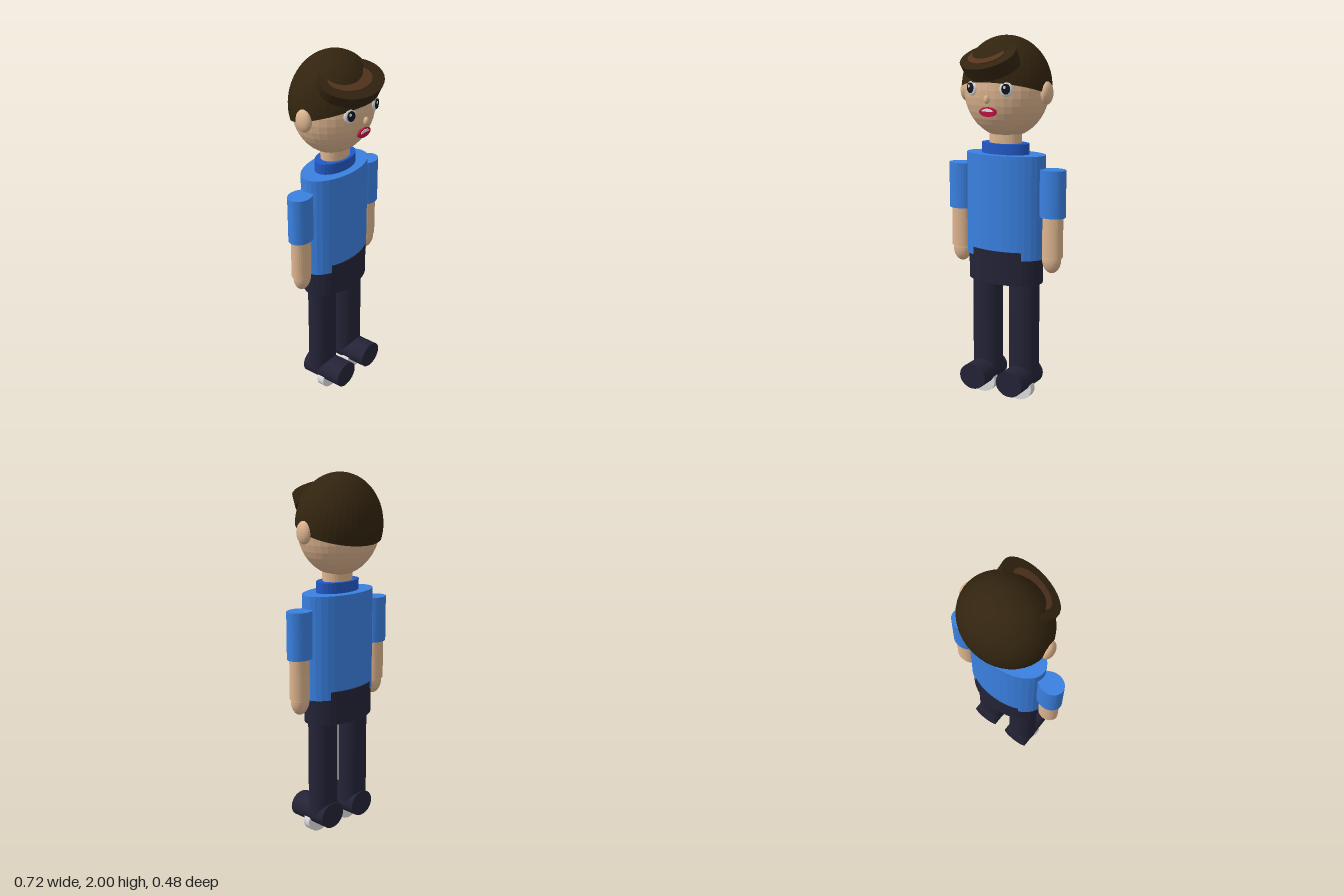
import * as THREE from 'three';

const mat = (name, color) => Object.assign(new THREE.MeshStandardMaterial({ color }), { name });

export function createModel() {
  const skin = mat('skin', 0xdcb48f), hair = mat('hair', 0x32240f), hairLight = mat('hairHighlight', 0x55341e);
  const shirt = mat('shirt', 0x3a80e0), collar = mat('collar', 0x2259c6), pants = mat('navy', 0x242337);
  const white = mat('white', 0xdedee0), black = mat('pupil', 0x15161f), red = mat('lips', 0xc01240);
  const model = new THREE.Group();

  // Faceted mesh, placed and named
  function add(name, geo, material, x, y, z, parent = model) {
    const flat = geo.index ? geo.toNonIndexed() : geo;
    flat.computeVertexNormals();
    const mesh = new THREE.Mesh(flat, material);
    mesh.name = name;
    mesh.position.set(x, y, z);
    parent.add(mesh);
    return mesh;
  }
  const ball = (rx, ry, rz, w = 32, h = 20) => new THREE.SphereGeometry(1, w, h).scale(rx, ry, rz);
  // Upright elliptical cylinder
  const tube = (rx, h, rz, n = 32) => new THREE.CylinderGeometry(1, 1, h, n).scale(rx, 1, rz);
  // Elliptical cylinder lying along z
  const disc = (rx, ry, depth, n = 32) =>
    new THREE.CylinderGeometry(1, 1, depth, n).rotateX(Math.PI / 2).scale(rx, ry, 1);

  // Head and neck
  add('head', ball(0.237, 0.26, 0.203), skin, 0, 1.72, -0.02);
  add('neck', tube(0.093, 0.14, 0.068), skin, 0, 1.45, -0.01);
  add('nose', ball(0.016, 0.022, 0.014, 16, 12), skin, 0, 1.675, 0.187);

  // Hair cap with a hairline that slopes down to the back
  const cap = new THREE.SphereGeometry(1, 40, 20, 0, Math.PI * 2, 0, Math.PI / 2 + 0.12);
  cap.rotateX(-0.24).scale(0.25, 0.27, 0.215);
  add('hairCap', cap, hair, 0, 1.73, -0.024);

  // Swept fringe: a tilted disc sunk into the forehead
  const fringe = new THREE.Group();
  fringe.name = 'fringe';
  fringe.position.set(-0.035, 1.895, 0.12);
  fringe.rotation.set(0.54, -0.28, 0.17, 'XZY');
  model.add(fringe);
  add('fringeBody', tube(0.186, 0.075, 0.128), hair, 0, -0.0375, 0, fringe);
  add('fringeHighlight', tube(0.125, 0.006, 0.078), hairLight, -0.01, 0.002, 0, fringe);

  // Mouth with teeth
  add('lips', disc(0.05, 0.025, 0.012), red, 0, 1.61, 0.174);
  const teeth = new THREE.Shape().absellipse(0, 0, 0.034, 0.016, 0, Math.PI, false);
  add('teeth', new THREE.ExtrudeGeometry(teeth, { depth: 0.004, bevelEnabled: false }), white, 0, 1.612, 0.179);

  // Shirt and hips
  add('torso', tube(0.235, 0.565, 0.13), shirt, 0, 1.0925, -0.013);
  add('collar', tube(0.14, 0.065, 0.083), collar, 0, 1.4, -0.01);
  add('hips', tube(0.222, 0.185, 0.1355), pants, 0, 0.7625, -0.013);

  for (const s of [-1, 1]) {
    const side = s > 0 ? 'left' : 'right';
    add(side + 'Ear', ball(0.03, 0.06, 0.047, 20, 14), skin, s * 0.246, 1.705, -0.013);

    // Eye: white, pupil and glint stacked outwards
    const eye = new THREE.Group();
    eye.name = side + 'Eye';
    eye.position.set(s * 0.103, 1.73, 0.162);
    eye.rotation.y = s * 0.3;
    model.add(eye);
    add('eyeWhite', ball(0.036, 0.04, 0.014, 20, 14), white, 0, 0, 0, eye);
    add('pupil', disc(0.023, 0.027, 0.008, 20), black, 0, 0.001, 0.012, eye);
    add('glint', disc(0.007, 0.008, 0.003, 12), white, -0.006, 0.01, 0.0165, eye);

    // Arm
    add(side + 'Sleeve', tube(0.074, 0.255, 0.06), shirt, s * 0.285, 1.1775, -0.015);
    add(side + 'Forearm', tube(0.058, 0.23, 0.048), skin, s * 0.288, 0.945, -0.015);
    add(side + 'Hand', ball(0.055, 0.08, 0.043, 24, 16), skin, s * 0.284, 0.82, -0.013);

    // Leg and shoe
    add(side + 'Leg', tube(0.088, 0.56, 0.071), pants, s * 0.117, 0.42, -0.013);
    add(side + 'Shoe', disc(0.081, 0.072, 0.252), pants, s * 0.117, 0.123, 0.036);
    add(side + 'Sole', disc(0.084, 0.07, 0.043), white, s * 0.117, 0.07, 0.036);
  }
  return model;
}
